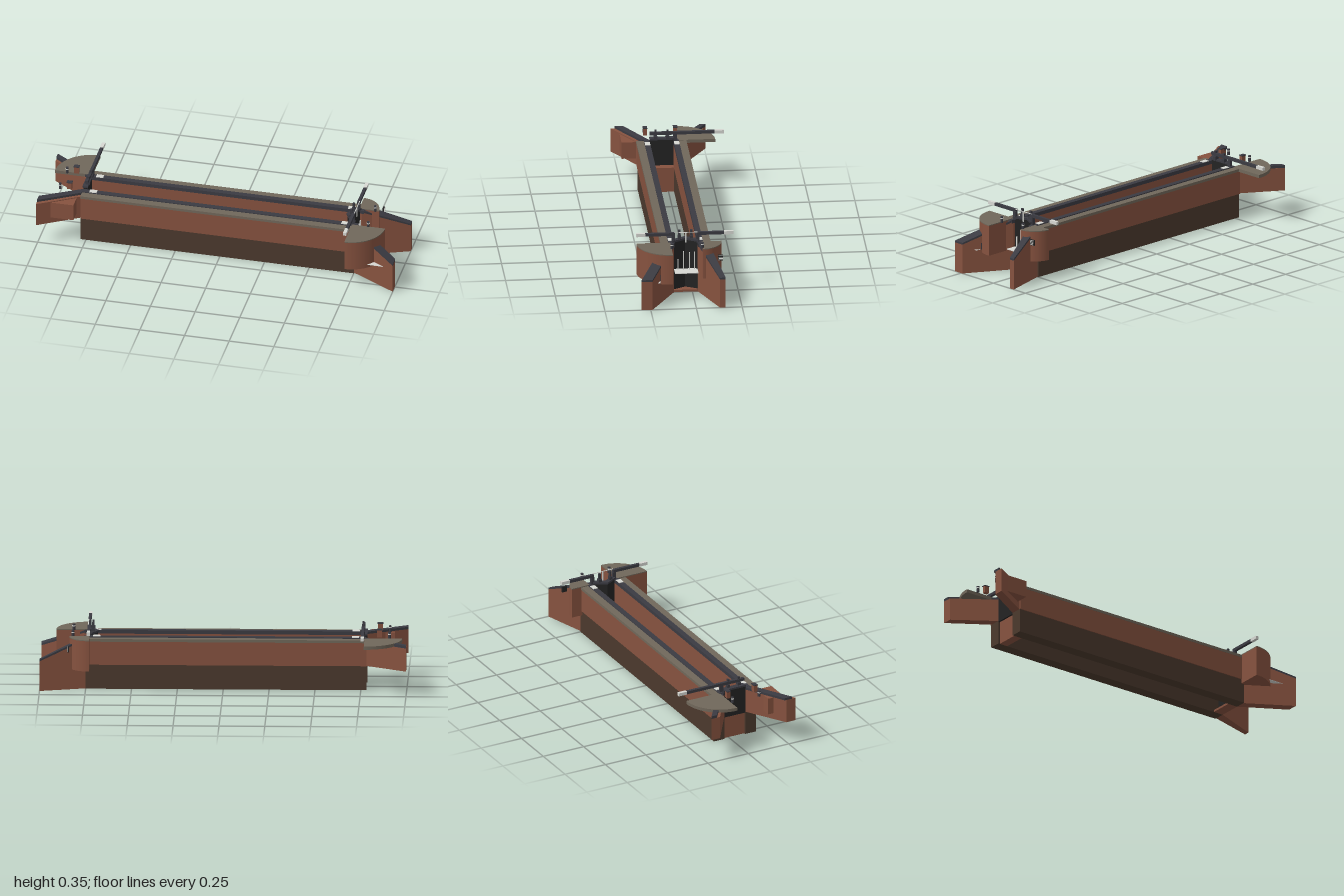
import * as THREE from 'three';

const mat = (name, color) => {
  const m = new THREE.MeshStandardMaterial({ color });
  m.name = name;
  return m;
};

export function createModel() {
  const root = new THREE.Group();
  root.name = 'canalLock';
  const brick = mat('brick', 0x86523f);
  const wet = mat('wetBrick', 0x4b392d);
  const path = mat('path', 0x70675a);
  const stone = mat('darkStone', 0x3b3b42);
  const timber = mat('blackTimber', 0x232323);
  const white = mat('whitePaint', 0xd6d7d2);

  const add = (name, geo, m) => {
    const mesh = new THREE.Mesh(geo, m);
    mesh.name = name;
    root.add(mesh);
    return mesh;
  };
  // box given by its limits on each axis
  const box = (name, m, x0, x1, y0, y1, z0, z1) => {
    const g = new THREE.BoxGeometry(x1 - x0, y1 - y0, z1 - z0);
    g.translate((x0 + x1) / 2, (y0 + y1) / 2, (z0 + z1) / 2);
    return add(name, g, m);
  };
  // splayed wall: each end is [x, zMin, zMax, yBottom, yTop]
  const splay = (name, m, a, b) => {
    const g = new THREE.BoxGeometry(1, 1, 1);
    const p = g.attributes.position;
    for (let i = 0; i < p.count; i++) {
      const e = p.getX(i) < 0 ? a : b;
      p.setXYZ(i, e[0], p.getY(i) < 0 ? e[3] : e[4], p.getZ(i) < 0 ? e[1] : e[2]);
    }
    const flat = g.toNonIndexed();
    flat.computeVertexNormals();
    return add(name, flat, m);
  };
  // quarter disc; start angle turns from +x towards -z
  const quarter = (name, m, x, z, r, start, y0, y1) => {
    const s = new THREE.Shape();
    s.moveTo(0, 0);
    s.absarc(0, 0, r, start, start + Math.PI / 2, false);
    s.lineTo(0, 0);
    const g = new THREE.ExtrudeGeometry(s, { depth: y1 - y0, bevelEnabled: false, curveSegments: 20 });
    g.rotateX(-Math.PI / 2);
    g.translate(x, y0, z);
    return add(name, g, m);
  };
  const post = (name, m, x, z, y0, y1, r) => {
    const g = new THREE.CylinderGeometry(r, r, y1 - y0, 12);
    g.translate(x, (y0 + y1) / 2, z);
    return add(name, g, m);
  };

  // chamber walls mirrored about the channel centre
  const C = 0.035;
  for (const s of [-1, 1]) {
    const wall = (name, m, x0, x1, y0, y1, a, b) => {
      const z = [C + s * a, C + s * b].sort((p, q) => p - q);
      return box(name, m, x0, x1, y0, y1, z[0], z[1]);
    };
    wall('lowerWall', wet, -0.78, 0.75, 0, 0.135, 0.065, 0.13);
    wall('upperWall', brick, -0.78, 0.75, 0.135, 0.264, 0.065, 0.135);
    wall('towpath', path, -0.78, 0.73, 0.264, 0.279, 0.09, 0.137);
    wall('coping', stone, -0.78, 0.73, 0.264, 0.284, 0.065, 0.095);
    for (const x of [-0.72, 0.69])
      wall('copingMark', white, x - 0.02, x + 0.02, 0.284, 0.287, 0.066, 0.094);
    wall('quoin', stone, 0.73, 0.76, 0.264, 0.283, 0.065, 0.085);

    // bollards with a white band
    for (const x of [-0.905, 0.82]) {
      const z = C + s * 0.083;
      post('bollard', stone, x, z, 0.28, 0.314, 0.008);
      post('bollardBand', white, x, z, 0.301, 0.307, 0.0085);
    }
    wall('mooringBlock', brick, -0.865, -0.838, 0.288, 0.326, 0.073, 0.093);
    wall('mooringBlockCap', stone, -0.867, -0.836, 0.326, 0.331, 0.071, 0.095);
  }

  // lower end: splayed wings, sloping copings and rounded corners
  splay('lowerFrontWing', brick, [0.75, 0.1, 0.158, 0, 0.272], [1, 0.24, 0.3, 0, 0.165]);
  splay('lowerFrontWingCap', stone, [0.75, 0.1, 0.158, 0.272, 0.284], [1, 0.24, 0.3, 0.165, 0.175]);
  splay('lowerBackWing', brick, [0.75, -0.088, -0.03, 0, 0.272], [1, -0.16, -0.129, 0, 0.165]);
  splay('lowerBackWingCap', stone, [0.75, -0.088, -0.03, 0.272, 0.284], [1, -0.16, -0.129, 0.165, 0.175]);
  quarter('frontCorner', brick, 0.73, 0.12, 0.185, -Math.PI / 2, 0.11, 0.279);
  quarter('frontCornerTop', path, 0.73, 0.12, 0.185, -Math.PI / 2, 0.279, 0.284);
  quarter('backCorner', brick, 0.73, -0.05, 0.11, 0, 0.11, 0.279);
  quarter('backCornerTop', path, 0.73, -0.05, 0.11, 0, 0.279, 0.284);

  // upper end: level wings, side block and landing
  splay('upperFrontWing', brick, [-1, 0.235, 0.293, 0.135, 0.27], [-0.78, 0.1, 0.16, 0.135, 0.27]);
  splay('upperFrontWingCap', stone, [-1, 0.225, 0.27, 0.27, 0.283], [-0.78, 0.1, 0.14, 0.27, 0.283]);
  splay('upperBackWing', brick, [-1, -0.228, -0.175, 0.135, 0.264], [-0.78, -0.09, -0.03, 0.135, 0.264]);
  splay('upperBackWingCap', stone, [-1, -0.228, -0.195, 0.264, 0.279], [-0.78, -0.075, -0.035, 0.264, 0.279]);
  quarter('landing', path, -0.77, -0.055, 0.205, Math.PI / 2, 0.263, 0.281);
  box('sideBlock', brick, -0.93, -0.8, 0.17, 0.265, 0.16, 0.25);

  // sills
  box('upperSill', brick, -0.77, -0.72, 0, 0.14, -0.03, 0.1);
  box('lowerSill', brick, 0.69, 0.75, 0, 0.012, -0.03, 0.1);

  // upper gate, one leaf with a beam to the back
  box('upperGate', timber, -0.78, -0.762, 0.13, 0.29, -0.03, 0.1);
  box('upperGateWalkway', stone, -0.785, -0.755, 0.29, 0.3, -0.03, 0.1);
  box('upperBeam', stone, -0.77, -0.754, 0.32, 0.336, -0.255, 0.1);
  box('upperBeamEnd', white, -0.771, -0.753, 0.319, 0.337, -0.306, -0.255);
  box('upperBeamPost', stone, -0.77, -0.754, 0.28, 0.32, -0.05, -0.03);

  // lower mitre gates with balance beams
  for (const s of [-1, 1]) {
    const zs = (a, b) => [C + s * a, C + s * b].sort((p, q) => p - q);
    const inner = [0.685, 0.703], outer = [0.722, 0.74];
    const leaf = (name, m, y0, y1, pad) => {
      const g = new THREE.BoxGeometry(1, 1, 1);
      const p = g.attributes.position;
      for (let i = 0; i < p.count; i++) {
        const [z0, z1] = zs(0, 0.067);
        const low = p.getZ(i) < 0;
        const e = low === (s > 0) ? inner : outer;
        p.setXYZ(i, p.getX(i) < 0 ? e[0] - pad : e[1] + pad, p.getY(i) < 0 ? y0 : y1, low ? z0 : z1);
      }
      const flat = g.toNonIndexed();
      flat.computeVertexNormals();
      add(name, flat, m);
    };
    leaf('lowerGate', timber, 0.012, 0.288, 0);
    leaf('lowerGateWalkway', stone, 0.288, 0.299, 0.006);
    box('lowerBeam', stone, 0.724, 0.74, 0.326, 0.342, ...zs(0.06, s > 0 ? 0.222 : 0.21));
    box('lowerBeamEnd', white, 0.723, 0.741, 0.325, 0.343, ...zs(s > 0 ? 0.222 : 0.21, s > 0 ? 0.271 : 0.261));
    box('beamPost', stone, 0.724, 0.74, 0.28, 0.326, ...zs(0.058, 0.076));

    // paddle gear on both gates
    for (const x of [-0.76, 0.712]) {
      const z = C + s * 0.033;
      box('paddlePost', stone, x - 0.006, x + 0.006, 0.29, 0.348, z - 0.006, z + 0.006);
      box('paddleGear', stone, x - 0.011, x + 0.011, 0.3, 0.316, z - 0.009, z + 0.009);
    }
    // handrail
    box('railPost', white, 0.735, 0.739, 0.285, 0.344, ...zs(0.06, 0.064));
    box('railMiddlePost', white, 0.735, 0.739, 0.285, 0.344, ...zs(0, 0.004));
    box('handrail', white, 0.735, 0.739, 0.341, 0.344, ...zs(0, 0.064));
  }

  // leaking water jets and foam below the lower gate
  for (const [z, y] of [[0.079, 0.19], [0.049, 0.236], [0.015, 0.228], [-0.012, 0.232]])
    box('waterJet', white, 0.742, 0.747, 0.128, y, z - 0.003, z + 0.003);
  box('foam', white, 0.73, 0.8, 0.125, 0.129, -0.029, 0.099);
  box('sideFoam', white, 0.85, 0.94, 0.129, 0.131, 0.19, 0.265);
  box('sidePost', stone, 0.905, 0.909, 0.13, 0.165, 0.186, 0.19);

  // level gauge by the lower back wing
  box('gaugeBoard', timber, 0.84, 0.848, 0.215, 0.247, -0.16, -0.132);
  for (let i = 0; i < 4; i++)
    box('gaugeMark', white, 0.848, 0.85, 0.218 + i * 0.008, 0.221 + i * 0.008, -0.158, -0.134);
  return root;
}
